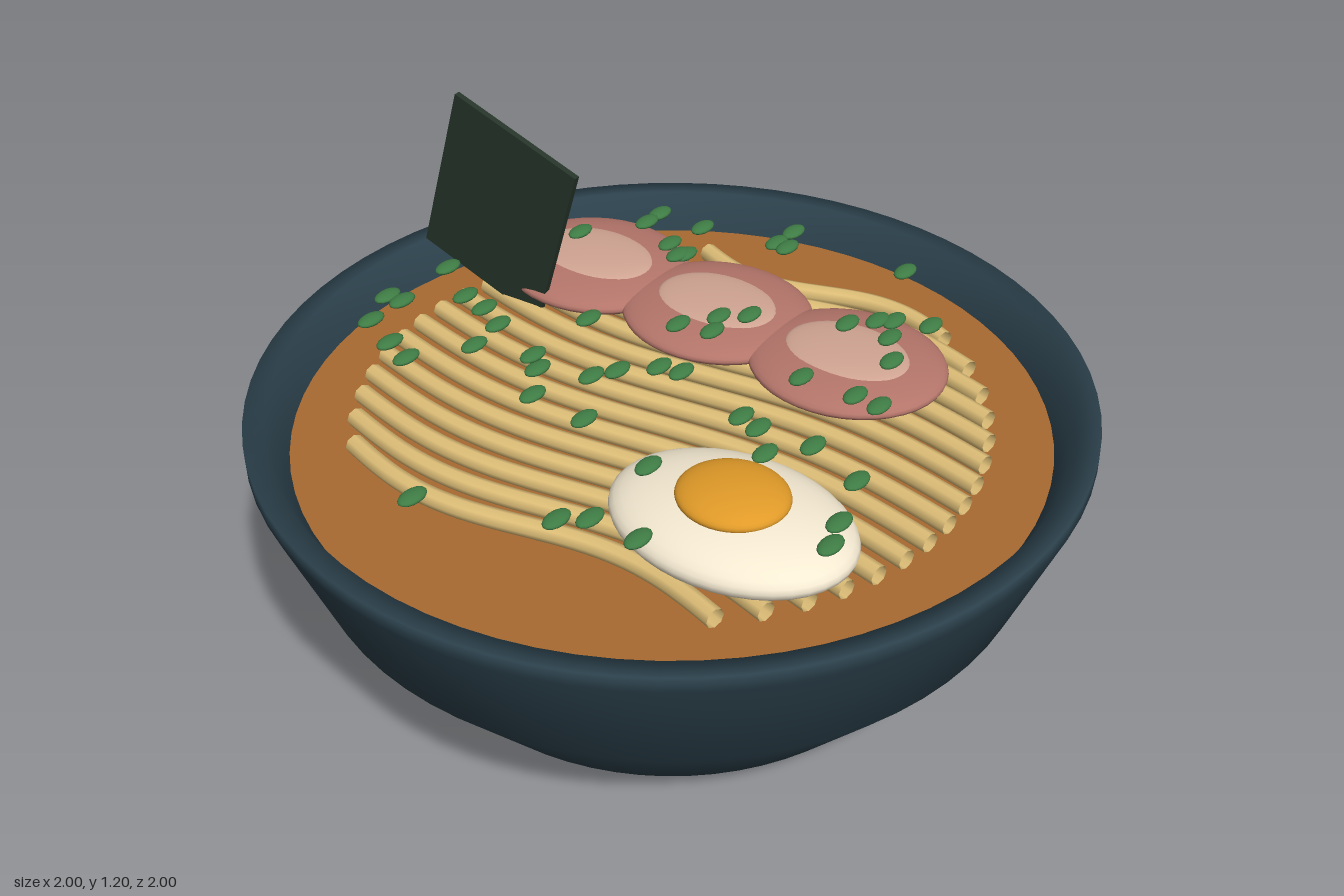
import * as THREE from 'three';

const mat = (color, extra = {}) => new THREE.MeshStandardMaterial({ color, ...extra });
const MATS = {
  bowl: mat(0x2b404b, { side: THREE.DoubleSide }),
  broth: mat(0xa96a32),
  noodle: mat(0xdfbf78, { side: THREE.DoubleSide }),
  meat: mat(0xb4756a),
  fat: mat(0xd0a492),
  white: mat(0xf5ead2),
  yolk: mat(0xe09a28),
  seaweed: mat(0x26352a),
  onion: mat(0x3f7d45),
};

// x, z of every spring onion slice
const ONIONS = [
  -.13, -.71, -.13, -.63, -.09, -.62, .22, -.69, -.47, -.58, -.33, -.58, -.46, -.51, -.34, -.45,
  -.29, -.45, -.30, -.43, -.67, -.38, -.68, -.37, -.58, -.38, .31, -.49, .28, -.46, .40, -.51,
  .22, -.42, .34, -.42, .40, -.33, .02, -.29, -.05, -.26, -.02, -.19, -.10, -.16, .27, -.14,
  .40, -.17, .47, -.16, -.29, -.05, -.72, -.02, .02, -.01, -.03, .01, -.60, .05, -.52, .07,
  -.46, .09, -.10, .08, -.13, .14, -.29, .16, -.26, .18, -.76, .16, -.71, .16, -.43, .21,
  -.20, .27, -.04, .28, -.71, .27, -.60, .32, -.54, .33, .24, .06, .30, .08, .44, .07,
  .36, .14, .58, .11, .63, .26, .66, .34, .18, .33, .32, .55, .20, .56, .15, .61, -.16, .72,
];

export function createModel() {
  const root = new THREE.Group();
  root.name = 'noodleBowl';

  const add = (name, geometry, material, parent = root) => {
    const mesh = new THREE.Mesh(geometry, material);
    mesh.name = name;
    parent.add(mesh);
    return mesh;
  };
  const group = (name) => {
    const g = new THREE.Group();
    g.name = name;
    root.add(g);
    return g;
  };
  const ball = new THREE.SphereGeometry(1, 40, 20);
  const smallBall = new THREE.SphereGeometry(1, 14, 10);
  const ellipsoid = (name, material, parent, pos, radii, geometry = ball) => {
    const mesh = add(name, geometry, material, parent);
    mesh.position.set(...pos);
    mesh.scale.set(...radii);
  };

  // Bowl: outer wall, rim and inner wall in one profile
  const profile = [
    [0, 0], [.45, 0], [.65, .09], [.88, .37], [1, .68], [1, .72],
    [.95, .72], [.9, .62], [.8, .37], [.58, .14], [0, .08],
  ].map(([r, y]) => new THREE.Vector2(r, y));
  add('bowl', new THREE.LatheGeometry(profile, 72), MATS.bowl);

  // Broth surface
  const broth = add('broth', new THREE.CylinderGeometry(.903, .895, .02, 72), MATS.broth);
  broth.position.y = .615;

  // Wavy noodles, cut to a round patch
  const noodles = group('noodles');
  for (let i = 0; i < 16; i++) {
    const z0 = -.655 + .08 * i;
    const half = Math.sqrt(.75 * .75 - z0 * z0);
    const points = [];
    for (let k = 0; k <= 12; k++) {
      const u = k / 6 - 1;
      points.push(new THREE.Vector3(u * half, .65, z0 - .045 * Math.sin(Math.PI * u)));
    }
    const path = new THREE.CatmullRomCurve3(points);
    add('noodle', new THREE.TubeGeometry(path, 40, .024, 8), MATS.noodle, noodles);
  }

  // Meat slices with a pale centre
  const meat = group('meatSlices');
  for (const x of [-.505, -.12, .265]) {
    ellipsoid('meatSlice', MATS.meat, meat, [x, .705, -.355], [.25, .045, .225]);
    ellipsoid('meatCentre', MATS.fat, meat, [x, .737, -.352], [.162, .018, .12]);
  }

  // Egg
  const egg = group('egg');
  ellipsoid('eggWhite', MATS.white, egg, [.4, .71, .32], [.297, .075, .217]);
  ellipsoid('eggYolk', MATS.yolk, egg, [.4, .78, .32], [.13, .037, .12]);

  // Leaning seaweed sheet
  const sheet = add('seaweedSheet', new THREE.BoxGeometry(.392, .476, .016), MATS.seaweed);
  sheet.position.set(-.652, .914, -.15);
  sheet.rotation.z = -.298;

  // Spring onion slices
  const onions = group('springOnions');
  for (let i = 0; i < ONIONS.length; i += 2) {
    const y = .767 + .005 * ((i / 2) % 4);
    ellipsoid('onionSlice', MATS.onion, onions, [ONIONS[i], y, ONIONS[i + 1]], [.024, .011, .04], smallBall);
  }

  return root;
}
